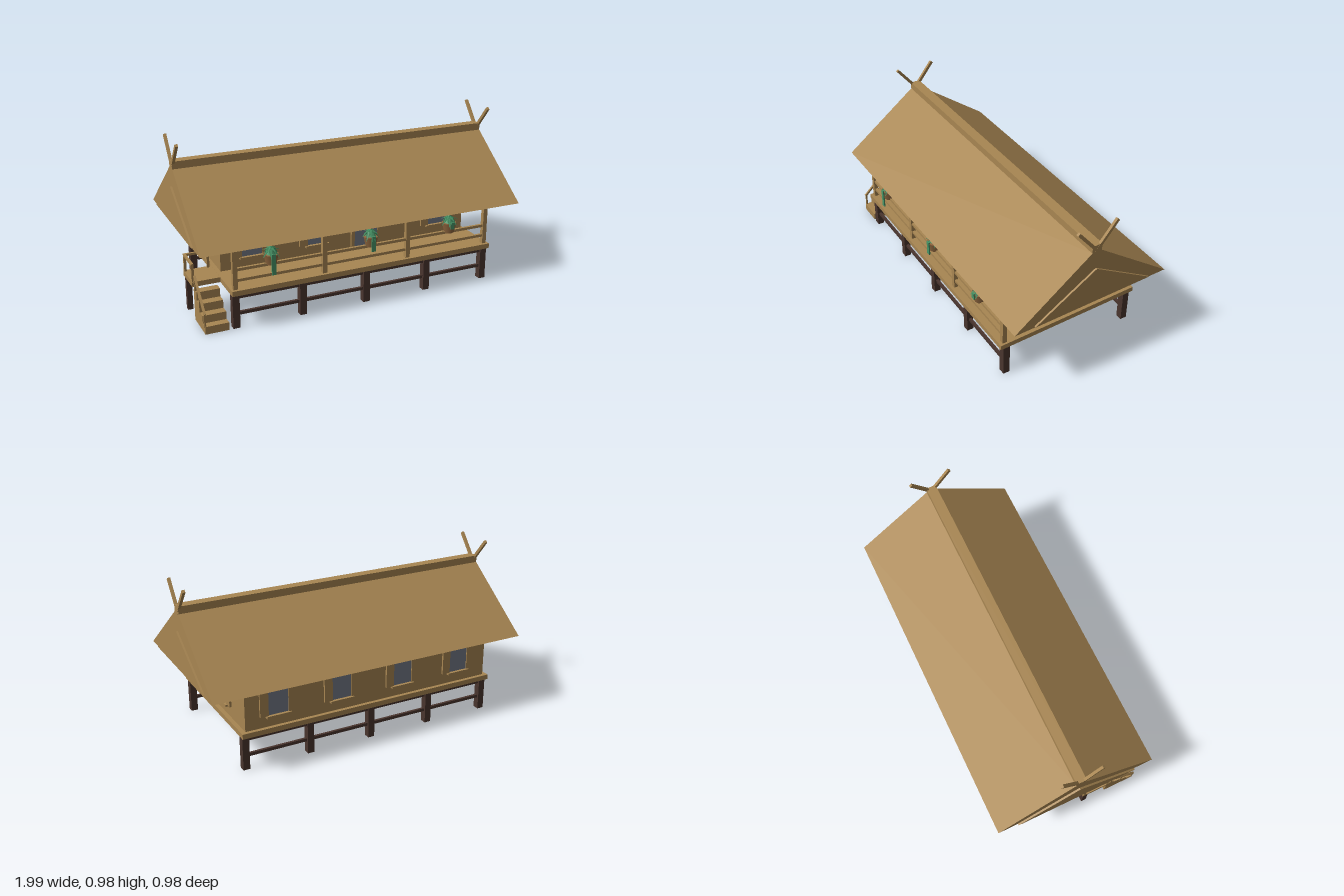
import * as THREE from 'three';

const mat = (name, color) => {
  const m = new THREE.MeshStandardMaterial({ color });
  m.name = name;
  return m;
};

export function createModel() {
  const wood = mat('tan wood', 0xa88652);
  const dark = mat('dark wood', 0x4a352e);
  const glass = mat('grey glass', 0x757a88);
  const clay = mat('brown clay', 0x916840);
  const green = mat('leaf green', 0x479567);
  green.side = THREE.DoubleSide;
  clay.side = THREE.DoubleSide;

  const house = new THREE.Group();
  house.name = 'stiltHouse';

  // Box given by its min and max on each axis
  function box(name, m, x0, x1, y0, y1, z0, z1, parent = house) {
    const mesh = new THREE.Mesh(new THREE.BoxGeometry(x1 - x0, y1 - y0, z1 - z0), m);
    mesh.position.set((x0 + x1) / 2, (y0 + y1) / 2, (z0 + z1) / 2);
    mesh.name = name;
    parent.add(mesh);
    return mesh;
  }

  // Profile of [z, y] points extruded along x from x0 to x1
  function extrudeX(name, m, points, x0, x1) {
    const shape = new THREE.Shape(points.map(([z, y]) => new THREE.Vector2(-z, y)));
    const geo = new THREE.ExtrudeGeometry(shape, { depth: x1 - x0, bevelEnabled: false });
    geo.rotateY(Math.PI / 2);
    geo.translate(x0, 0, 0);
    const mesh = new THREE.Mesh(geo, m);
    mesh.name = name;
    house.add(mesh);
  }

  // Square bar between two [z, y] points at one x
  function barZY(name, m, x, a, b, wide, thick) {
    const dz = b[0] - a[0], dy = b[1] - a[1];
    const mesh = new THREE.Mesh(new THREE.BoxGeometry(wide, thick, Math.hypot(dz, dy)), m);
    mesh.position.set(x, (a[1] + b[1]) / 2, (a[0] + b[0]) / 2);
    mesh.rotation.x = -Math.atan2(dy, dz);
    mesh.name = name;
    house.add(mesh);
  }

  // Stilts and their cross beams
  for (const z of [-0.396, 0.42]) {
    for (let i = -2; i <= 2; i++) {
      const x = i * 0.3925;
      box('stilt', dark, x - 0.02, x + 0.02, 0, 0.2, z - 0.02, z + 0.02);
    }
    box('upperBeam', dark, -0.785, 0.785, 0.17, 0.2, z - 0.01, z + 0.01);
    box('lowerBeam', dark, -0.785, 0.785, 0.072, 0.09, z - 0.008, z + 0.008);
  }

  // Deck and house body
  box('deck', wood, -0.81, 0.81, 0.2, 0.23, -0.437, 0.46);
  box('walls', wood, -0.785, 0.785, 0.23, 0.472, -0.415, 0.18);

  // Porch posts and rails
  for (const x of [-0.785, -0.262, 0.262, 0.785])
    box('porchPost', wood, x - 0.013, x + 0.013, 0.23, 0.472, 0.416, 0.442);
  for (const y of [0.28, 0.342])
    box('porchRail', wood, -0.785, 0.785, y - 0.008, y + 0.008, 0.421, 0.437);

  // Solid roof with ridge cap and gable panels
  extrudeX('roof', wood, [[-0.49, 0.47], [0.49, 0.47], [0.03, 0.812], [-0.03, 0.812]], -0.985, 0.985);
  box('ridgeCap', wood, -0.985, 0.985, 0.808, 0.855, -0.03, 0.03);
  for (const s of [-1, 1]) {
    const xs = [s * 0.985, s * 0.996].sort((a, b) => a - b);
    extrudeX('gablePanel', wood, [[-0.37, 0.48], [0.37, 0.48], [0, 0.705]], xs[0], xs[1]);
    for (const t of [-1, 1])
      barZY('crossedFinial', wood, s * 0.978, [-t * 0.012, 0.805], [t * 0.122, 0.97], 0.016, 0.018);
  }

  // Shuttered window facing +z, turned to suit its wall
  function addWindow(x, z, turn) {
    const g = new THREE.Group();
    g.name = 'window';
    box('windowGlass', glass, -0.061, 0.061, 0.3, 0.44, 0, 0.006, g);
    for (const s of [-1, 1]) {
      const [a, b] = [s * 0.06, s * 0.11].sort((p, q) => p - q);
      box('shutter', wood, a, b, 0.298, 0.441, 0, 0.012, g);
    }
    box('lintel', wood, -0.078, 0.078, 0.44, 0.455, 0, 0.018, g);
    box('sill', wood, -0.074, 0.074, 0.287, 0.299, 0, 0.022, g);
    g.position.set(x, 0, z);
    g.rotation.y = turn;
    house.add(g);
  }
  for (const x of [-0.6, -0.2, 0.6]) addWindow(x, 0.18, 0);
  for (const x of [-0.59, -0.2, 0.2, 0.59]) addWindow(x, -0.415, Math.PI);
  addWindow(0.785, -0.118, Math.PI / 2);
  addWindow(-0.785, -0.118, -Math.PI / 2);

  // Glazed door with frame
  box('doorGlass', glass, 0.04, 0.19, 0.23, 0.445, 0.18, 0.188);
  box('doorJamb', wood, 0.02, 0.04, 0.23, 0.445, 0.18, 0.195);
  box('doorLeaf', wood, 0.19, 0.24, 0.23, 0.445, 0.18, 0.193);
  box('doorLintel', wood, 0.01, 0.25, 0.445, 0.46, 0.18, 0.2);

  // Side landing with its rails
  box('landing', wood, -0.97, -0.8, 0.2, 0.229, 0.075, 0.25);
  box('landingStilt', dark, -0.965, -0.935, 0, 0.2, 0.085, 0.115);
  for (const [x, z] of [[-0.962, 0.237], [-0.962, 0.087], [-0.83, 0.087]])
    box('landingPost', wood, x - 0.007, x + 0.007, 0.229, 0.33, z - 0.007, z + 0.007);
  box('landingSideRail', wood, -0.969, -0.955, 0.32, 0.333, 0.08, 0.244);
  box('landingBackRail', wood, -0.969, -0.823, 0.32, 0.333, 0.08, 0.094);

  // Solid steps and handrail
  extrudeX('stairs', wood, [
    [0.245, 0], [0.44, 0], [0.44, 0.045], [0.395, 0.045], [0.395, 0.09], [0.345, 0.09],
    [0.345, 0.137], [0.295, 0.137], [0.295, 0.185], [0.245, 0.185],
  ], -0.962, -0.828);
  for (const [z, y0, y1] of [[0.27, 0.185, 0.272], [0.345, 0.09, 0.198], [0.43, 0.04, 0.117]])
    box('handrailPost', wood, -0.965, -0.955, y0, y1, z - 0.005, z + 0.005);
  barZY('handrail', wood, -0.96, [0.267, 0.272], [0.435, 0.114], 0.012, 0.012);

  // Hanging plants: tapered pot, drooping leaves and a trailing vine
  const leafGeo = new THREE.ConeGeometry(0.014, 0.055, 4);
  leafGeo.scale(1, 1, 0.4);
  function addPlant(x, vineEnd, seed) {
    const g = new THREE.Group();
    g.name = 'hangingPlant';
    const pot = new THREE.Mesh(new THREE.CylinderGeometry(0.044, 0.03, 0.06, 8), clay);
    pot.name = 'pot';
    pot.position.y = 0.37;
    g.add(pot);
    const crown = new THREE.Mesh(new THREE.ConeGeometry(0.034, 0.06, 6), green);
    crown.name = 'crown';
    crown.position.y = 0.425;
    g.add(crown);
    for (let i = 0; i < 12; i++) {
      const pivot = new THREE.Group();
      const leaf = new THREE.Mesh(leafGeo, green);
      leaf.name = 'leaf';
      leaf.position.set(0, i % 2 ? 0.405 : 0.43, i % 2 ? 0.036 : 0.025);
      leaf.rotation.x = i % 2 ? 2.5 : 1.9;
      pivot.rotation.y = i * 0.5236 + seed;
      pivot.add(leaf);
      g.add(pivot);
    }
    box('vine', green, -0.012, 0.012, vineEnd, 0.41, 0.036, 0.044, g);
    g.position.set(x, 0, 0.43);
    house.add(g);
  }
  addPlant(-0.575, 0.29, 0.2);
  addPlant(0.025, 0.32, 0.6);
  addPlant(0.54, 0.37, 1.1);

  return house;
}
